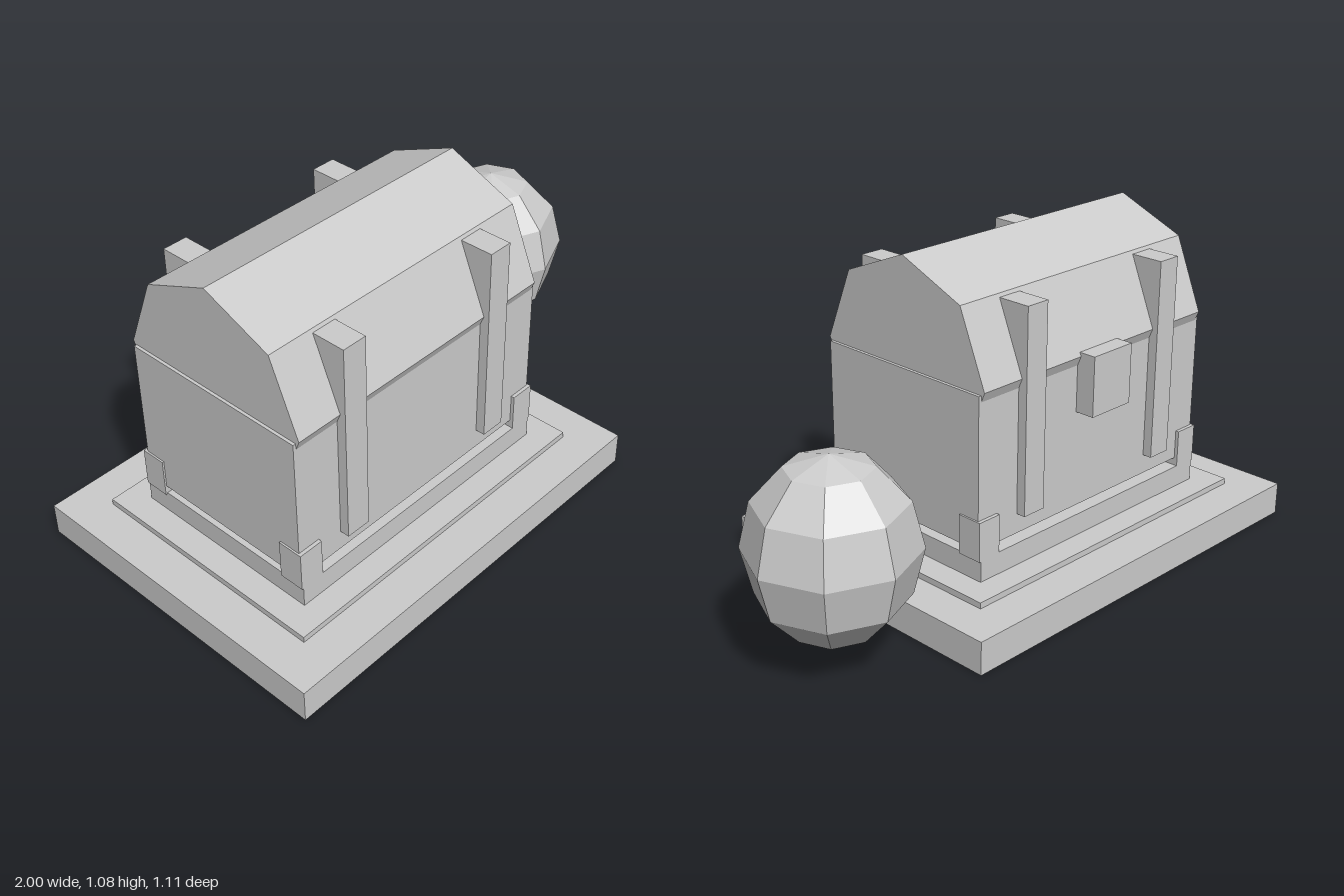
import * as THREE from 'three';

const material = new THREE.MeshStandardMaterial({ color: 0xcccccc, flatShading: true });

// Axis-aligned box given by its min and max on each axis
function box(name, [x0, x1], [y0, y1], [z0, z1]) {
  const mesh = new THREE.Mesh(new THREE.BoxGeometry(x1 - x0, y1 - y0, z1 - z0), material);
  mesh.position.set((x0 + x1) / 2, (y0 + y1) / 2, (z0 + z1) / 2);
  mesh.name = name;
  return mesh;
}

export function createModel() {
  const model = new THREE.Group();
  model.name = 'chestAndBall';

  // Chest on a stepped base, built around its own centre
  const chest = new THREE.Group();
  chest.name = 'chest';
  chest.position.x = -0.267;
  model.add(chest);

  chest.add(
    box('baseSlab', [-0.733, 0.733], [0, 0.11], [-0.555, 0.555]),
    box('baseStep', [-0.603, 0.603], [0.11, 0.13], [-0.424, 0.424]),
    box('plinth', [-0.515, 0.515], [0.13, 0.204], [-0.339, 0.339]),
    box('body', [-0.515, 0.515], [0.231, 0.73], [-0.327, 0.327]),
    box('lock', [-0.09, 0.085], [0.555, 0.754], [-0.394, -0.3])
  );

  // Corner blocks carry the body above the plinth
  for (const sx of [-1, 1]) {
    for (const sz of [-1, 1]) {
      const corner = box('cornerBlock', [-0.0425, 0.0425], [0.199, 0.33], [-0.043, 0.043]);
      corner.position.x = sx * 0.4785;
      corner.position.z = sz * 0.296;
      chest.add(corner);
    }
  }

  // Straps stand proud of the front and back
  for (const sx of [-1, 1]) {
    const strap = box('strap', [-0.0425, 0.0425], [0.297, 0.97], [-0.359, 0.359]);
    strap.position.x = sx * 0.305;
    chest.add(strap);
  }

  // Lid: eight-sided barrel lying along x, lower half inside the body
  const lid = new THREE.Mesh(new THREE.CylinderGeometry(0.34, 0.34, 1.01, 8), material);
  lid.name = 'lid';
  lid.rotation.z = Math.PI / 2;
  lid.position.y = 0.741;
  chest.add(lid);

  // Faceted ball, slightly taller than wide
  const ball = new THREE.Mesh(new THREE.SphereGeometry(0.26, 8, 6), material);
  ball.name = 'ball';
  ball.scale.y = 1.1;
  ball.position.set(0.737, 0.395, -0.24);
  model.add(ball);

  return model;
}
